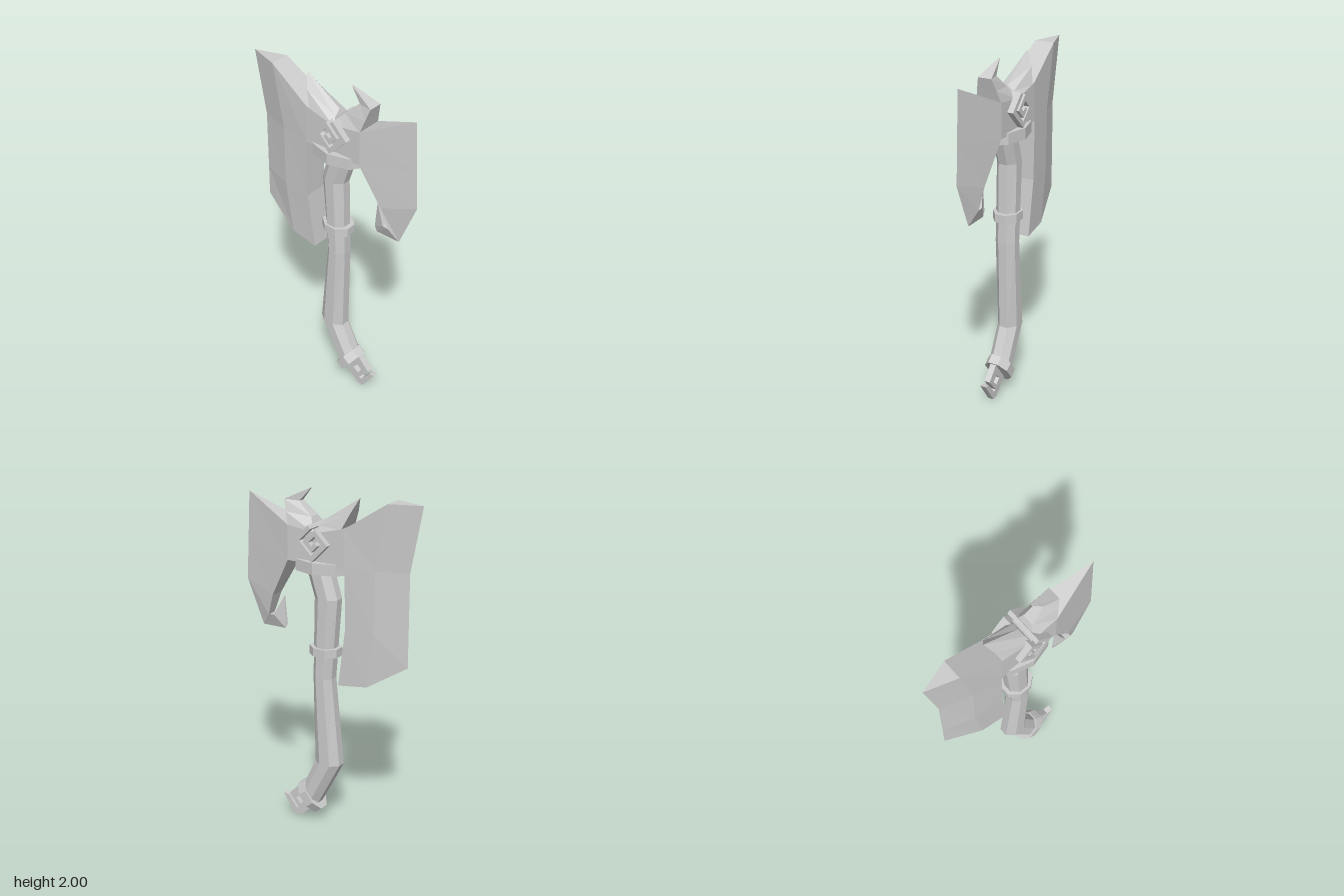
import * as THREE from 'three';

const mat = new THREE.MeshStandardMaterial({ color: 0xcccccc, flatShading: true, side: THREE.DoubleSide });

function add(group, name, geometry) {
  const mesh = new THREE.Mesh(geometry, mat);
  mesh.name = name;
  group.add(mesh);
  return mesh;
}

// Closed plate from rows of [x, y, halfDepth], rows top to bottom, points left to right
function slab(rows) {
  const pos = [];
  const v = (p, s) => new THREE.Vector3(p[0], p[1], p[2] * s);
  const tri = (a, b, c) => {
    const area = b.clone().sub(a).cross(c.clone().sub(a)).length();
    if (area > 1e-7) for (const p of [a, b, c]) pos.push(p.x, p.y, p.z);
  };
  const quad = (a, b, c, d) => { tri(a, b, c); tri(a, c, d); };
  const n = rows.length, m = rows[0].length;
  for (let i = 0; i < n - 1; i++) {
    for (let j = 0; j < m - 1; j++) {
      const a = rows[i][j], b = rows[i + 1][j], c = rows[i + 1][j + 1], d = rows[i][j + 1];
      quad(v(a, 1), v(b, 1), v(c, 1), v(d, 1));
      quad(v(d, -1), v(c, -1), v(b, -1), v(a, -1));
    }
  }
  // rim, walked counter-clockwise
  const rim = [
    ...rows.map(r => r[0]),
    ...rows[n - 1].slice(1),
    ...rows.slice(0, -1).reverse().map(r => r[m - 1]),
    ...rows[0].slice(1, -1).reverse(),
  ];
  rim.forEach((p, i) => {
    const q = rim[(i + 1) % rim.length];
    quad(v(p, 1), v(p, -1), v(q, -1), v(q, 1));
  });
  const g = new THREE.BufferGeometry();
  g.setAttribute('position', new THREE.Float32BufferAttribute(pos, 3));
  g.computeVertexNormals();
  return g;
}

const toShape = pts => new THREE.Shape(pts.map(p => new THREE.Vector2(p[0], p[1])));

function extrude(shape, half) {
  return new THREE.ExtrudeGeometry(shape, { depth: half * 2, bevelEnabled: false }).translate(0, 0, -half);
}

// Mitred band of constant width along a polyline
function band(path, width) {
  const pts = path.map(p => new THREE.Vector2(p[0], p[1]));
  const normal = i => {
    const d = pts[i + 1].clone().sub(pts[i]).normalize();
    return new THREE.Vector2(-d.y, d.x);
  };
  const side = s => pts.map((p, i) => {
    const a = normal(Math.max(i - 1, 0)), b = normal(Math.min(i, pts.length - 2));
    const m = a.clone().add(b).normalize();
    return p.clone().addScaledVector(m, s * width / 2 / m.dot(b));
  });
  return new THREE.Shape([...side(1), ...side(-1).reverse()]);
}

// Eight-sided shaft: each ring is [x, y, radius, tilt]
function shaft(rings, depth) {
  const g = new THREE.CylinderGeometry(1, 1, 1, 8, rings.length - 1).rotateY(Math.PI / 8);
  const p = g.attributes.position, k = 1 / Math.cos(Math.PI / 8);
  for (let i = 0; i < p.count; i++) {
    const [x, y, r, tilt] = rings[Math.round((0.5 - p.getY(i)) * (rings.length - 1))];
    const u = p.getX(i) * r * k;
    p.setXYZ(i, x + u * Math.cos(tilt), y + u * Math.sin(tilt), p.getZ(i) * depth * k);
  }
  g.computeVertexNormals();
  return g;
}

// Eight-sided collar
function collar(rx, rz, height, turn) {
  return new THREE.CylinderGeometry(1, 1, height, 8).rotateY(turn).scale(rx, 1, rz);
}

export function createModel() {
  const axe = new THREE.Group();
  axe.name = 'axe';

  // Handle and its collars
  add(axe, 'handle', shaft([
    [0.065, 1.57, 0.075, 0], [0.013, 1.4, 0.073, 0], [0.037, 0.93, 0.06, 0],
    [0.005, 0.4, 0.08, 0], [0.125, 0.165, 0.075, 0.92],
  ], 0.062));
  add(axe, 'headCollar', collar(0.18, 0.118, 0.065, 0)).position.set(0.045, 1.585, 0);
  add(axe, 'gripRing', collar(0.097, 0.082, 0.05, Math.PI / 8)).position.set(0.03, 1.09, 0);
  const endRing = add(axe, 'endRing', collar(0.108, 0.08, 0.055, Math.PI / 8));
  endRing.position.set(0.127, 0.157, 0);
  endRing.rotation.z = 0.92;

  // Flat curled pommel
  const pommel = toShape([[0.1, 0.1], [0.2, 0.005], [0.235, 0], [0.32, 0.125], [0.285, 0.12],
    [0.225, 0.045], [0.21, 0.053], [0.275, 0.133], [0.195, 0.22]]);
  pommel.holes.push(new THREE.Path([[0.165, 0.11], [0.2, 0.08], [0.23, 0.115], [0.195, 0.143]]
    .map(p => new THREE.Vector2(...p))));
  add(axe, 'pommel', extrude(pommel, 0.018));

  // Head block between the blades
  add(axe, 'headBlock', slab([
    [[-0.13, 1.82, 0.075], [0.05, 1.775, 0.075], [0.23, 1.8, 0.075]],
    [[-0.135, 1.6, 0.075], [0.05, 1.6, 0.075], [0.23, 1.6, 0.075]],
  ]));

  // Long bearded blade
  add(axe, 'longBlade', slab([
    [[-0.56, 1.98, 0], [-0.38, 1.98, 0.058], [-0.13, 1.82, 0.075]],
    [[-0.49, 1.61, 0], [-0.31, 1.61, 0.057], [-0.135, 1.61, 0.075]],
    [[-0.49, 1.26, 0], [-0.31, 1.25, 0.055], [-0.135, 1.25, 0.07]],
    [[-0.49, 1.08, 0], [-0.265, 0.94, 0.052], [-0.09, 0.92, 0.065]],
  ]));

  // Short blade curling into a hook
  add(axe, 'hookBlade', slab([
    [[0.23, 1.8, 0.075], [0.53, 1.94, 0]],
    [[0.23, 1.6, 0.075], [0.545, 1.65, 0]],
    [[0.355, 1.37, 0.045], [0.557, 1.43, 0]],
    [[0.395, 1.245, 0.03], [0.45, 1.17, 0]],
    [[0.36, 1.25, 0.03], [0.3, 1.17, 0]],
    [[0.303, 1.365, 0.003], [0.285, 1.2, 0]],
  ]));

  // Crest spikes on top of the head
  add(axe, 'ridgedSpike', slab([
    [[-0.185, 1.98, 0], [0.035, 1.835, 0]],
    [[-0.15, 1.9, 0.045], [0.045, 1.81, 0.045]],
    [[-0.11, 1.81, 0.075], [0.055, 1.77, 0.075]],
  ]));
  add(axe, 'beakSpike', slab([
    [[0.12, 2, 0.004], [0.125, 2, 0.006]],
    [[0.185, 1.925, 0.02], [0.27, 1.93, 0.04]],
    [[0.1, 1.85, 0.035], [0.25, 1.865, 0.058]],
    [[0.06, 1.775, 0.075], [0.23, 1.795, 0.075]],
  ]));

  // Square spiral standing out on both faces
  const spiral = add(axe, 'spiralOrnament', extrude(band([
    [0.075, 0.055], [0.075, -0.06], [-0.058, -0.06], [-0.058, 0.058],
    [0.03, 0.058], [0.03, -0.02], [-0.02, -0.02], [-0.02, 0.022],
  ], 0.026), 0.11));
  spiral.position.set(0.055, 1.72, 0);
  spiral.rotation.z = Math.PI / 4;

  return axe;
}
